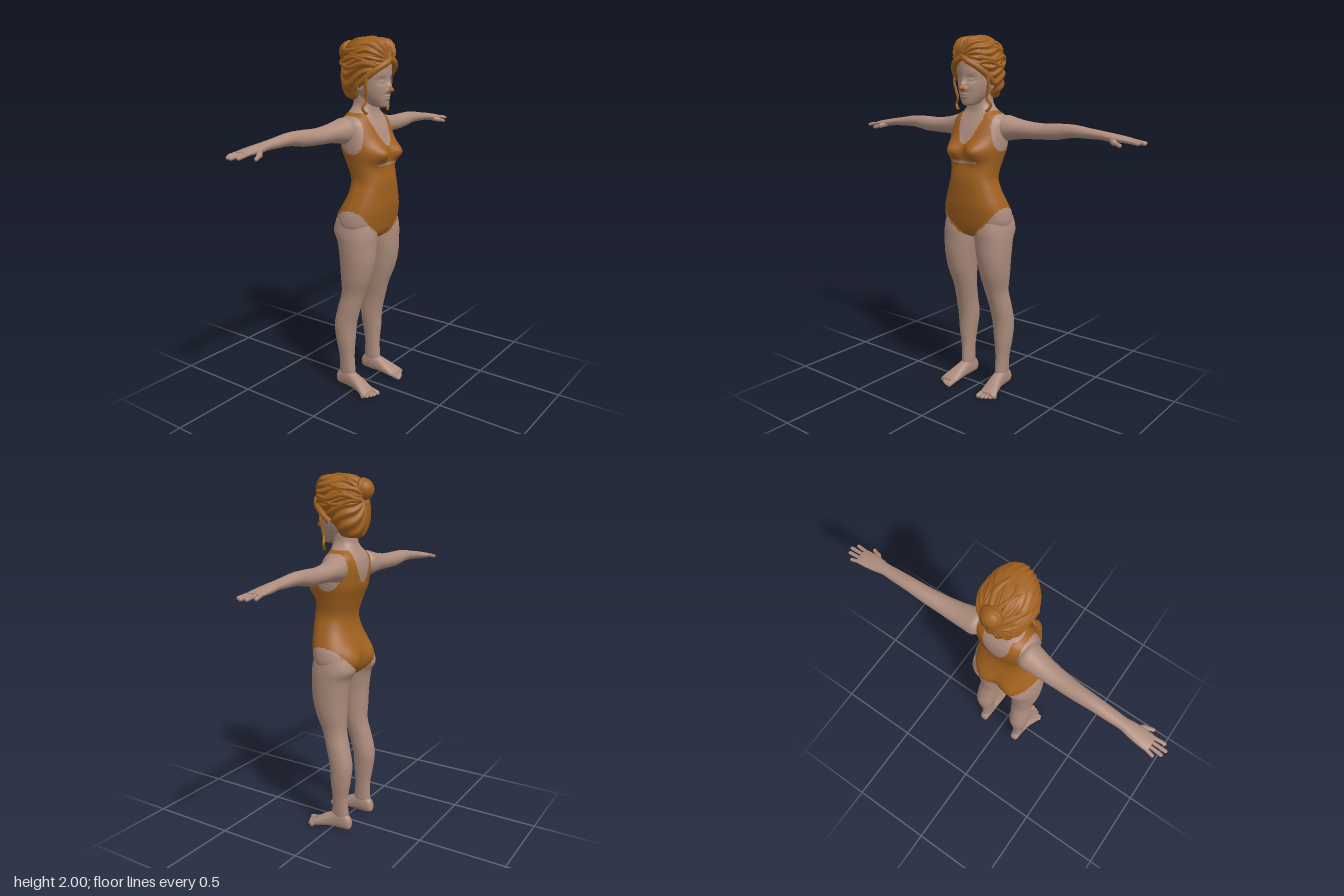
import * as THREE from 'three';

const skin = new THREE.MeshStandardMaterial({ color: 0xad8c7d });
skin.name = 'skin';
const amber = new THREE.MeshStandardMaterial({ color: 0xa0601e });
amber.name = 'amber';

const { abs, min, max, sin, cos, sqrt, sign, pow, PI } = Math;
const gauss = (d, w) => Math.exp(-(d * d) / (w * w));
const smooth = THREE.MathUtils.smoothstep;

// Smooth interpolation through rows of numbers, u in 0..1
function sample(keys, u) {
  const f = u * (keys.length - 1), i = min(keys.length - 2, Math.floor(f)), t = f - i;
  const k = (j) => keys[max(0, min(keys.length - 1, j))];
  return keys[0].map((_, c) => {
    const a = k(i - 1)[c], b = k(i)[c], d = k(i + 1)[c], e = k(i + 2)[c];
    return b + 0.5 * t * (d - a + t * (2 * a - 5 * b + 4 * d - e + t * (3 * (b - d) + e - a)));
  });
}

// Rings along an axis; key = [t, aMin, aMax, bMin, bMax]
const place = {
  y: (t, a, b) => [a, t, b],
  z: (t, a, b) => [a, b, t],
  x: (t, a, b) => [t, b, a],
};
function loft(name, keys, { axis = 'y', rings = 40, sides = 32, power = 2, side = 1, warp, paint, mat = skin }) {
  const pos = [], tris = [];
  const add = (p) => {
    const v = new THREE.Vector3(...p);
    if (warp) warp(v);
    pos.push(v.x, v.y, v.z * side);
  };
  for (let i = 0; i <= rings; i++) {
    const [t, a0, a1, b0, b1] = sample(keys, i / rings);
    for (let j = 0; j < sides; j++) {
      const q = (j / sides) * 2 * PI, c = cos(q), s = sin(q);
      const ca = sign(c) * pow(abs(c), 2 / power), sb = sign(s) * pow(abs(s), 2 / power);
      add(place[axis](t, (a0 + a1) / 2 + ((a1 - a0) / 2) * ca, (b0 + b1) / 2 + ((b1 - b0) / 2) * sb));
    }
  }
  for (const k of [keys[0], keys[keys.length - 1]]) add(place[axis](k[0], (k[1] + k[2]) / 2, (k[3] + k[4]) / 2));
  const capA = (rings + 1) * sides, last = rings * sides;
  for (let j = 0; j < sides; j++) {
    const n = (j + 1) % sides;
    for (let i = 0; i < rings; i++) {
      const r = i * sides, s = r + sides;
      tris.push([r + j, s + j, r + n], [r + n, s + j, s + n]);
    }
    tris.push([capA, j, n], [capA + 1, last + n, last + j]);
  }
  // Face outwards
  const P = (i) => new THREE.Vector3().fromArray(pos, i * 3);
  const volume = tris.reduce((v, [a, b, c]) => v + P(a).dot(P(b).cross(P(c))), 0);
  if (volume < 0) tris.forEach((t) => t.reverse());
  const geo = new THREE.BufferGeometry();
  geo.setAttribute('position', new THREE.Float32BufferAttribute(pos, 3));
  if (paint) {
    const parts = [[], []];
    for (const t of tris) {
      const m = P(t[0]).add(P(t[1])).add(P(t[2])).divideScalar(3);
      parts[paint(m.x, m.y, m.z) ? 1 : 0].push(...t);
    }
    geo.setIndex(parts.flat());
    geo.addGroup(0, parts[0].length, 0);
    geo.addGroup(parts[0].length, parts[1].length, 1);
  } else geo.setIndex(tris.flat());
  geo.computeVertexNormals();
  return named(name, geo, paint ? [skin, amber] : mat);
}

function named(name, geo, mat) {
  const m = new THREE.Mesh(geo, mat);
  m.name = name;
  return m;
}
function capsule(name, p, q, r, mat = skin) {
  const a = new THREE.Vector3(...p), b = new THREE.Vector3(...q), d = b.clone().sub(a);
  const m = named(name, new THREE.CapsuleGeometry(r, d.length(), 6, 12), mat);
  m.position.copy(a).add(b).multiplyScalar(0.5);
  m.quaternion.setFromUnitVectors(new THREE.Vector3(0, 1, 0), d.normalize());
  return m;
}
const tube = (name, pts, r) => named(name, new THREE.TubeGeometry(
  new THREE.CatmullRomCurve3(pts.map((p) => new THREE.Vector3(...p))), 28, r, 8), amber);
const even = (rows) => rows.map(([t, a, b, h]) => [t, a, b, -h, h]);

// Area covered by the swimsuit
function isSuit(x, y, z) {
  const w = abs(z);
  if (y < 0.915 + 0.17 * pow(w / 0.19, 1.6) || y > 1.605) return false;
  if (x > 0.05 && abs(y - 1.336) < 0.006 && w < 0.08) return false;
  if (y > 1.43 && w < 0.075 * sqrt(min(1, (y - 1.43) / 0.13))) return false;
  return !(y > 1.38 && w > 0.165 - 0.04 * min(1, (y - 1.38) / 0.15));
}

function makeTorso() {
  const keys = even([
    [0.905, -0.05, 0.05, 0.03], [0.925, -0.085, 0.095, 0.1], [0.96, -0.105, 0.12, 0.18], [1.0, -0.112, 0.132, 0.205],
    [1.05, -0.11, 0.142, 0.205], [1.1, -0.095, 0.15, 0.19], [1.18, -0.066, 0.153, 0.158], [1.25, -0.062, 0.152, 0.137],
    [1.33, -0.085, 0.135, 0.148], [1.4, -0.112, 0.132, 0.163], [1.45, -0.12, 0.125, 0.167], [1.5, -0.125, 0.11, 0.166],
    [1.55, -0.118, 0.085, 0.163], [1.58, -0.105, 0.068, 0.14], [1.605, -0.09, 0.058, 0.098], [1.64, -0.075, 0.056, 0.07],
    [1.69, -0.07, 0.06, 0.065], [1.74, -0.065, 0.06, 0.06]]);
  return loft('torso', keys, {
    rings: 130, sides: 96, power: 2.3, paint: isSuit,
    warp(v) { // bust and seat
      const w = abs(v.z);
      if (v.x > 0) v.x += 0.056 * gauss(w - 0.075, 0.06) * gauss(v.y - 1.395, 0.05) * smooth(v.x, 0, 0.08);
      else v.x -= 0.034 * gauss(w - 0.09, 0.07) * gauss(v.y - 1.01, 0.075) * smooth(-v.x, 0, 0.06);
    },
  });
}

function makeHead() {
  const keys = even([
    [1.633, 0.075, 0.115, 0.015], [1.64, 0.03, 0.127, 0.034], [1.66, -0.02, 0.132, 0.052], [1.69, -0.05, 0.134, 0.07],
    [1.73, -0.08, 0.138, 0.083], [1.78, -0.09, 0.14, 0.089], [1.83, -0.1, 0.142, 0.091], [1.89, -0.09, 0.132, 0.085],
    [1.94, -0.05, 0.08, 0.05]]);
  return loft('head', keys, {
    rings: 90, sides: 96, power: 2.15,
    paint: (x, y, z) => x > 0.149 && y > 1.708 && y < 1.746 && abs(z) < 0.02,
    warp(v) { // nose, eye sockets, eyeballs and lips
      if (v.x < 0.06) return;
      const w = abs(v.z), { y } = v;
      v.x += 0.03 * gauss(w, 0.013) * (y > 1.725 ? gauss(y - 1.725, 0.034) : gauss(y - 1.725, 0.012))
        + 0.009 * gauss(w, 0.024) * gauss(y - 1.72, 0.011)
        - 0.013 * gauss(w - 0.04, 0.022) * gauss(y - 1.772, 0.017)
        + 0.009 * gauss(w - 0.04, 0.013) * gauss(y - 1.77, 0.008)
        + 0.008 * gauss(w, 0.022) * (gauss(y - 1.693, 0.006) + gauss(y - 1.68, 0.006));
    },
  });
}

function makeHair() {
  const g = new THREE.Group();
  g.name = 'hair';
  const keys = even([
    [1.665, -0.09, 0.0, 0.04], [1.68, -0.112, 0.02, 0.075], [1.72, -0.13, 0.06, 0.105], [1.78, -0.14, 0.1, 0.122],
    [1.84, -0.138, 0.14, 0.128], [1.9, -0.125, 0.155, 0.124], [1.95, -0.095, 0.15, 0.105], [1.98, -0.05, 0.13, 0.075],
    [1.992, 0.0, 0.09, 0.025]]);
  g.add(loft('hairShell', keys, {
    rings: 90, sides: 120, mat: amber,
    warp(v) { // combed ridges, sunk beneath the face
      const sink = smooth(1.73 + 0.92 * v.x - v.y, -0.008, 0.014) * smooth(v.x, -0.03, 0.01);
      const k = 1 + 0.04 * sin(20 * Math.atan2(v.z, v.y - 1.88) + 4 * sin(v.x * 22));
      const f = k * (1 - 0.4 * sink);
      v.x *= f;
      v.z *= f;
    },
  }));
  // Strands swept from the hairline to the bun
  for (let i = 0; i < 15; i++) {
    const phi = ((i - 7) / 7) * 1.65, pts = [];
    for (let j = 0; j <= 7; j++) {
      const th = PI * (0.24 + 0.64 * (j / 7)), p = phi + 0.1 * sin(j * 1.3 + i * 2), R = 0.128 * sin(th);
      pts.push([0.005 + 0.148 * cos(th), 1.86 + R * cos(p), R * 0.98 * sin(p)]);
    }
    g.add(tube('sweptStrand', pts, 0.011 + 0.003 * sin(i * 2.4)));
  }
  // Bun
  const bun = new THREE.Group();
  bun.name = 'bun';
  bun.add(named('bunCore', new THREE.SphereGeometry(0.056, 24, 16), amber));
  for (let i = 0; i < 5; i++) {
    const coil = named('bunCoil', new THREE.TorusGeometry(0.045 - 0.003 * i, 0.016, 8, 28), amber);
    coil.rotation.set(i * 1.3, PI / 2 + 0.5 * sin(i * 2), 0);
    bun.add(coil);
  }
  bun.position.set(-0.118, 1.915, 0);
  g.add(bun);
  for (const s of [1, -1]) {
    // Parted fringe and loose curls beside the face
    g.add(tube('fringe', [[0.145, 1.885, 0], [0.148, 1.865, s * 0.035], [0.12, 1.835, s * 0.078],
      [0.075, 1.795, s * 0.105], [0.02, 1.75, s * 0.11]], 0.017));
    g.add(tube('looseCurl', [[0.08, 1.82, s * 0.105], [0.075, 1.76, s * 0.117], [0.07, 1.71, s * 0.108],
      [0.065, 1.67, s * 0.1], [0.055, 1.64, s * 0.118], [0.06, 1.615, s * 0.108], [0.065, 1.605, s * 0.092]], 0.0075));
  }
  return g;
}

function makeArm(side) {
  const g = new THREE.Group();
  g.name = side > 0 ? 'rightArm' : 'leftArm';
  g.add(loft('arm', [
    [0.115, -0.095, 0.015, 1.465, 1.56], [0.15, -0.115, 0.03, 1.445, 1.583], [0.2, -0.116, 0.018, 1.452, 1.572],
    [0.26, -0.115, 0.003, 1.46, 1.558], [0.35, -0.112, -0.012, 1.462, 1.548], [0.45, -0.112, -0.025, 1.466, 1.55],
    [0.55, -0.11, -0.033, 1.482, 1.549], [0.65, -0.107, -0.037, 1.483, 1.535], [0.71, -0.105, -0.04, 1.482, 1.527],
    [0.76, -0.113, -0.033, 1.476, 1.52], [0.82, -0.12, -0.031, 1.475, 1.51], [0.86, -0.121, -0.033, 1.475, 1.502],
    [0.872, -0.11, -0.045, 1.48, 1.497]], { axis: 'z', rings: 60, side }));
  [[-0.11, -0.119, 0.9], [-0.089, -0.093, 0.932], [-0.066, -0.066, 0.941], [-0.044, -0.038, 0.92]].forEach(([a, b, tip]) =>
    g.add(capsule('finger', [a, 1.488, side * 0.855], [b, 1.479, side * tip], 0.0095)));
  g.add(capsule('thumbBase', [-0.06, 1.492, side * 0.765], [-0.022, 1.478, side * 0.805], 0.015));
  g.add(capsule('thumb', [-0.022, 1.478, side * 0.805], [-0.006, 1.468, side * 0.842], 0.01));
  return g;
}

function makeLeg(side) {
  const g = new THREE.Group();
  g.name = side > 0 ? 'rightLeg' : 'leftLeg';
  g.add(loft('leg', [
    [0.06, -0.1, -0.01, 0.1, 0.15], [0.1, -0.103, 0.0, 0.094, 0.156], [0.2, -0.1, -0.006, 0.09, 0.165],
    [0.3, -0.115, 0.0, 0.08, 0.18], [0.4, -0.124, 0.006, 0.068, 0.187], [0.5, -0.104, 0.03, 0.063, 0.184],
    [0.6, -0.08, 0.06, 0.05, 0.18], [0.7, -0.08, 0.098, 0.038, 0.196], [0.8, -0.085, 0.12, 0.025, 0.206],
    [0.9, -0.1, 0.125, 0.008, 0.211], [0.96, -0.128, 0.125, 0.006, 0.21], [1.03, -0.11, 0.11, 0.02, 0.198]],
  { rings: 70, sides: 40, side, power: 2.1, paint: isSuit }));
  g.add(loft('foot', [
    [-0.122, 0.112, 0.138, 0.03, 0.06], [-0.11, 0.1, 0.15, 0.014, 0.09], [-0.06, 0.094, 0.156, 0.01, 0.125],
    [0.0, 0.094, 0.165, 0.01, 0.1], [0.05, 0.093, 0.18, 0.006, 0.075], [0.1, 0.095, 0.197, 0.001, 0.045],
    [0.125, 0.1, 0.195, 0.002, 0.033]], { axis: 'x', rings: 36, side, power: 2.3 }));
  for (let i = 0; i < 5; i++) {
    const z = side * (0.11 + 0.019 * i + (i ? 0.004 : 0)), r = i ? 0.0105 : 0.014;
    g.add(capsule('toe', [0.1, r + 0.008, z], [0.15 - 0.004 * i * i * 0.6 - 0.002 * i, r, z], r));
  }
  return g;
}

export function createModel() {
  const model = new THREE.Group();
  model.name = 'swimmer';
  model.add(makeTorso(), makeHead(), makeHair());
  for (const s of [1, -1]) {
    model.add(makeArm(s), makeLeg(s));
    const ear = named('ear', new THREE.SphereGeometry(1, 16, 12), skin);
    ear.scale.set(0.02, 0.03, 0.012);
    ear.position.set(0.012, 1.745, s * 0.09);
    model.add(ear);
  }
  return model;
}
